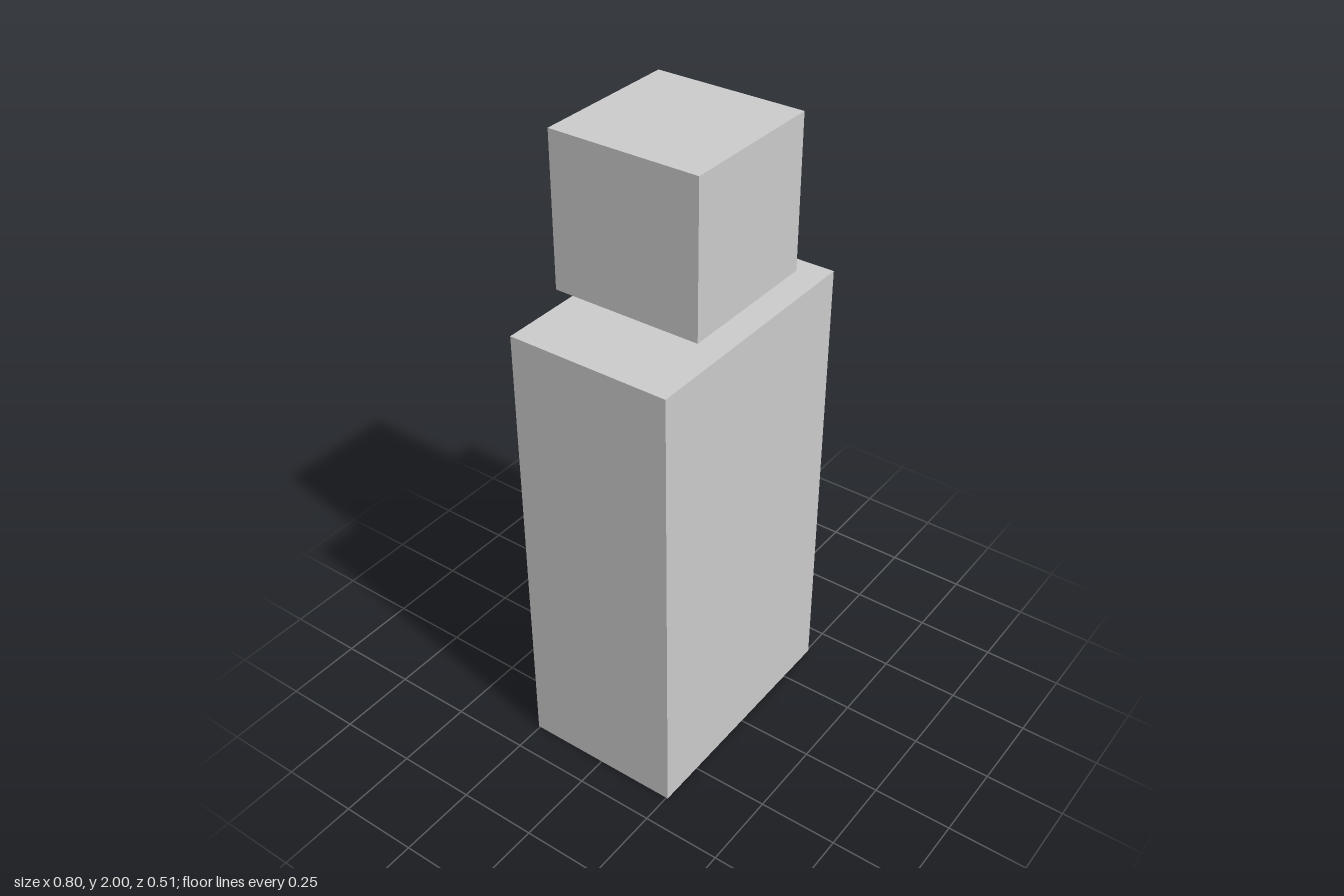
import * as THREE from 'three';

export function createModel() {
  const model = new THREE.Group();
  model.name = 'figure';
  const material = new THREE.MeshStandardMaterial({ color: 0xcccccc, flatShading: true });

  // Adds a box whose underside sits at height y
  function addBlock(name, width, height, depth, y) {
    const mesh = new THREE.Mesh(new THREE.BoxGeometry(width, height, depth), material);
    mesh.name = name;
    mesh.position.y = y + height / 2;
    model.add(mesh);
  }

  // Tall body block
  addBlock('body', 0.802, 1.463, 0.51, 0);

  // Cube head floating just above the body
  const headSize = 0.466;
  addBlock('head', headSize, headSize, headSize, 2 - headSize);

  return model;
}
